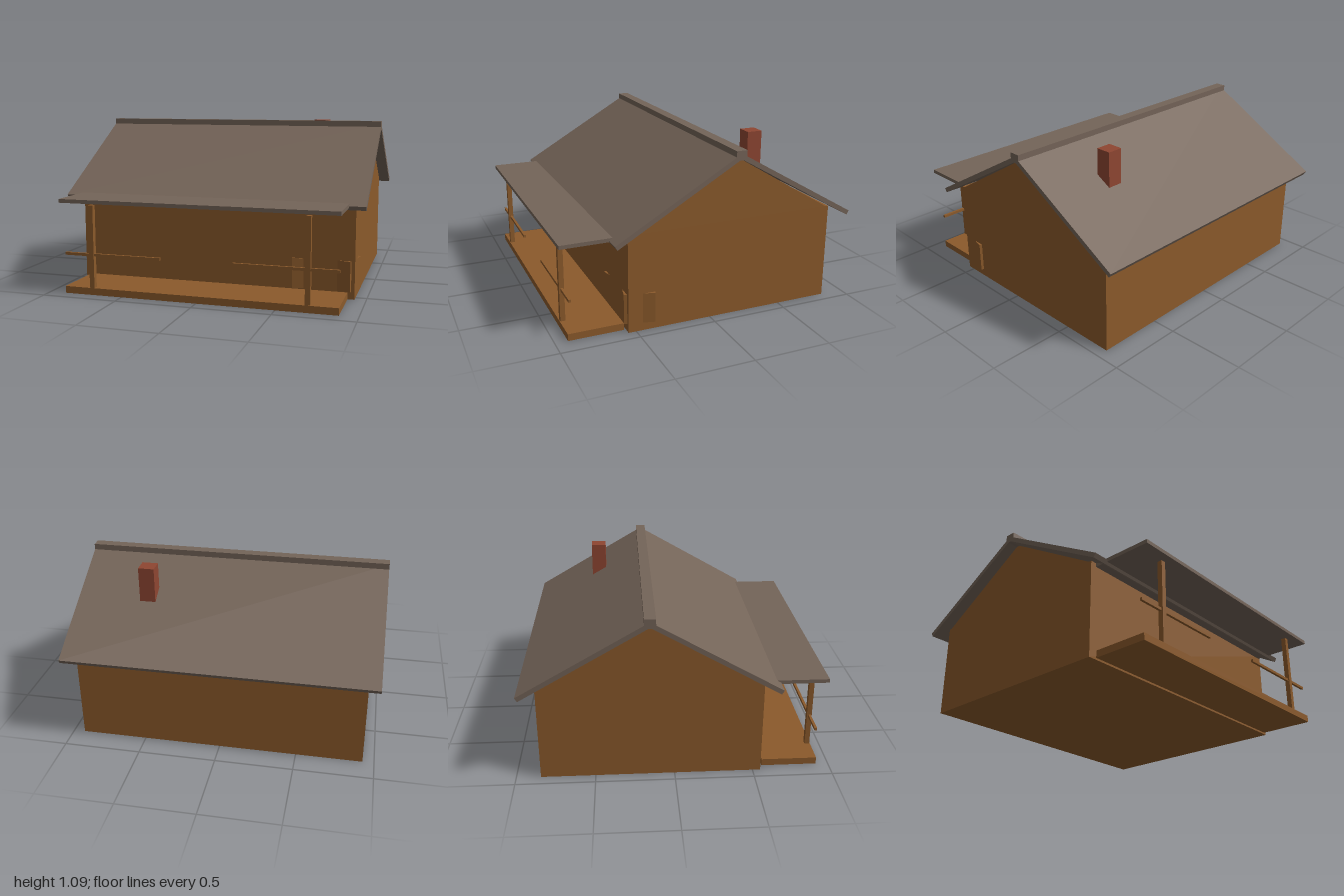
import * as THREE from 'three';

function material(name, color) {
  const m = new THREE.MeshStandardMaterial({ color });
  m.name = name;
  return m;
}

export function createModel() {
  const house = new THREE.Group();
  house.name = 'cabin';
  const wood = material('brown wood', 0x8b5a2b);
  const roofing = material('grey brown roofing', 0x746458);
  const brick = material('red brick', 0x8f4632);

  // box given by its lowest and highest corners
  function box(name, mat, [x0, y0, z0], [x1, y1, z1]) {
    const mesh = new THREE.Mesh(new THREE.BoxGeometry(x1 - x0, y1 - y0, z1 - z0), mat);
    mesh.position.set((x0 + x1) / 2, (y0 + y1) / 2, (z0 + z1) / 2);
    mesh.name = name;
    house.add(mesh);
    return mesh;
  }

  // walls with gables: side profile in (z, y), extruded along x
  const profile = new THREE.Shape([
    [-0.845, 0], [0.55, 0], [0.55, 0.63], [0.53, 0.63],
    [-0.148, 1.038], [-0.825, 0.63], [-0.845, 0.63],
  ].map(([z, y]) => new THREE.Vector2(z, y)));
  const wallGeometry = new THREE.ExtrudeGeometry(profile, { depth: 1.854, bevelEnabled: false });
  wallGeometry.translate(0, 0, -0.927);
  wallGeometry.rotateY(-Math.PI / 2);
  const walls = new THREE.Mesh(wallGeometry, wood);
  walls.name = 'walls';
  house.add(walls);

  // pitched roof
  const ridgeZ = -0.15;
  const pitch = Math.PI / 6;
  for (const side of [1, -1]) {
    const slab = new THREE.Mesh(new THREE.BoxGeometry(2, 0.03, 0.93), roofing);
    slab.position.set(0, 0.8265, ridgeZ + side * 0.395);
    slab.rotation.x = side * pitch;
    slab.name = side > 0 ? 'frontRoof' : 'backRoof';
    house.add(slab);
  }
  box('ridgeCap', roofing, [-1, 1.03, -0.185], [1, 1.09, -0.115]);
  box('chimney', brick, [0.48, 0.75, -0.527], [0.583, 1.085, -0.425]);

  // porch
  box('porchFloor', wood, [-0.885, 0.003, 0.565], [0.885, 0.048, 0.92]);
  box('porchRoof', roofing, [-0.895, 0.597, 0.56], [0.895, 0.621, 0.957]);
  for (const side of [1, -1]) {
    const postX = side * 0.698;
    box('porchPost', wood, [postX - 0.016, 0.048, 0.884], [postX + 0.016, 0.582, 0.916]);
    const railX = side * 0.56;
    box('porchRail', wood, [railX - 0.325, 0.252, 0.892], [railX + 0.325, 0.27, 0.908]);
  }

  // crates poking slightly through the front corner walls
  for (const [x, z, turn] of [[0.8275, 0.4525, -0.23], [0.6025, 0.4495, 0.23]]) {
    const crate = new THREE.Mesh(new THREE.BoxGeometry(0.195, 0.195, 0.195), wood);
    crate.position.set(x, 0.1475, z);
    crate.rotation.y = turn;
    crate.name = 'crate';
    house.add(crate);
  }

  return house;
}
